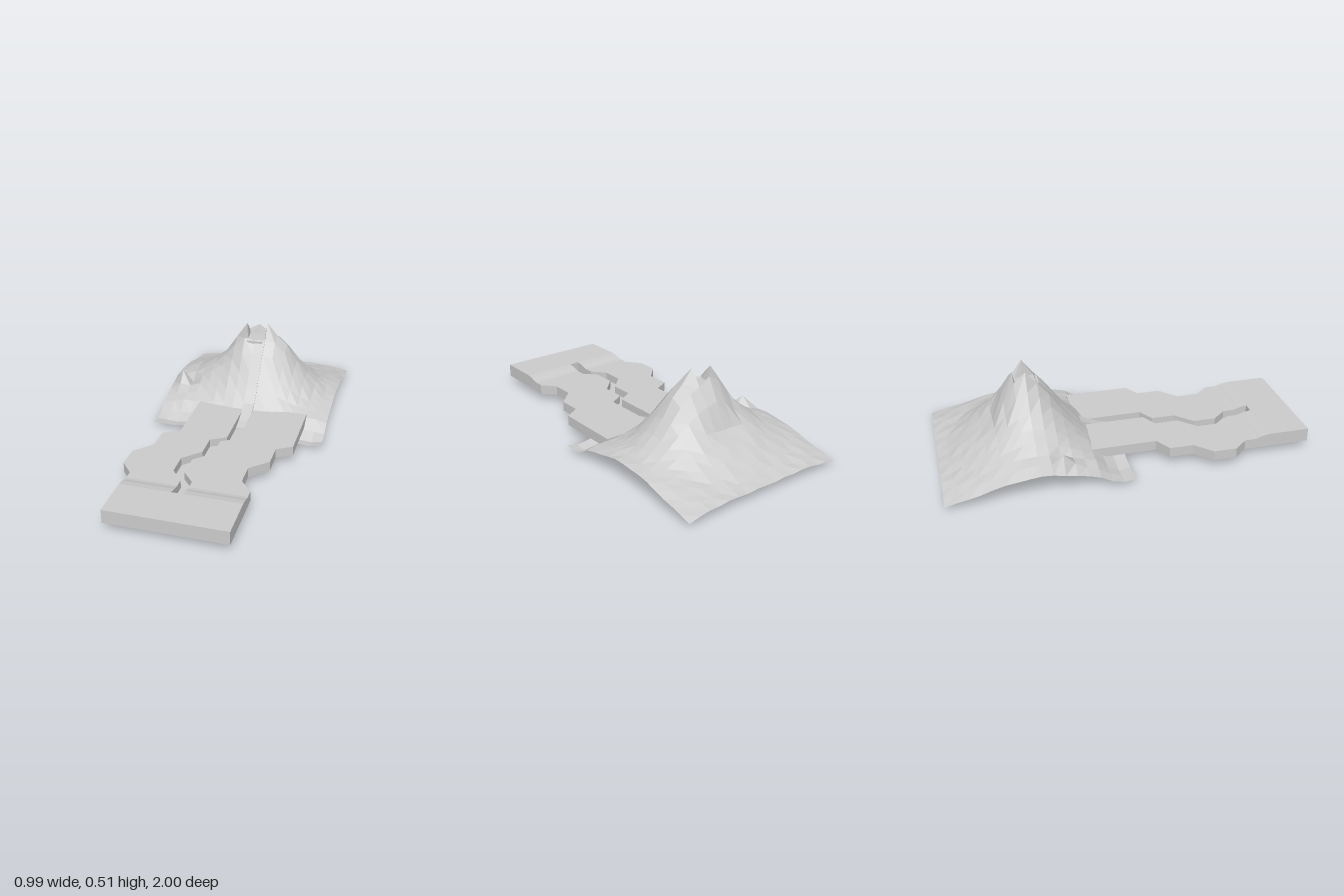
import * as THREE from 'three';

const material = new THREE.MeshStandardMaterial({ color: 0xcccccc, flatShading: true, side: THREE.DoubleSide });

function add(group, name, geometry) {
  const mesh = new THREE.Mesh(geometry, material);
  mesh.name = name;
  group.add(mesh);
  return mesh;
}

// Piecewise-linear height from [distance, height] points
function sample(points, d) {
  for (let k = 1; k < points.length; k++) {
    const [d0, h0] = points[k - 1], [d1, h1] = points[k];
    if (d <= d1) return h0 + (h1 - h0) * Math.max(0, (d - d0) / (d1 - d0));
  }
  return points[points.length - 1][1];
}

// Slopes of the mountain away from its peak
const slopes = {
  left: [[0.06, 0.515], [0.12, 0.445], [0.185, 0.38], [0.25, 0.285], [0.31, 0.215], [0.37, 0.16], [0.43, 0.125], [0.5, 0.115], [0.7, 0.02]],
  right: [[0.06, 0.5], [0.1, 0.445], [0.19, 0.31], [0.25, 0.255], [0.31, 0.21], [0.37, 0.17], [0.43, 0.15], [0.5, 0.12], [0.7, 0.02]],
  front: [[0.06, 0.42], [0.15, 0.33], [0.2, 0.25], [0.26, 0.175], [0.31, 0.12], [0.36, 0.085], [0.42, 0.05], [0.7, 0.025]],
  back: [[0.06, 0.475], [0.1, 0.42], [0.13, 0.34], [0.18, 0.23], [0.25, 0.18], [0.35, 0.12], [0.43, 0.07], [0.5, 0.045], [0.7, 0.02]],
};
// Height of the front edge across the mountain, by x
const frontEdge = [[-0.5, 0.02], [-0.37, 0.013], [-0.25, 0.03], [-0.1, 0.05], [0.1, 0.05], [0.25, 0.033], [0.37, 0.005], [0.43, 0], [0.5, 0.015]];
const N = 16, STEP = 0.0616, PEAK_Z = -0.507;
const gridX = (i) => -0.495 + STEP * i;
const gridZ = (j) => -1 + STEP * j;

// Jagged crater rim and one side crag, keyed by grid position
const special = {
  '9,8': 0.515, '7,8': 0.5, '8,7': 0.475, '9,7': 0.43, '7,7': 0.44,
  '8,9': 0.42, '7,9': 0.43, '1,10': 0.195, '1,11': 0.135, '2,10': 0.125,
};

function groundHeight(i, j) {
  if (i === 9 && j >= 9) return groundHeight(8, j); // level bed under the lava flow
  const key = `${i},${j}`;
  if (key in special) return special[key];
  const x = gridX(i), z = gridZ(j) - PEAK_Z;
  const edge = sample(frontEdge, x);
  if (j >= 15) return edge + (j - 15) * 0.01;
  const r = Math.hypot(x, z);
  const side = sample(x > 0 ? slopes.left : slopes.right, r);
  const along = sample(z > 0 ? slopes.front : slopes.back, r);
  const w = (x * x) / (r * r);
  let h = side * w + along * (1 - w);
  if (i !== 8) h += 0.003 * Math.sin(i * 2.3 + j * 1.7); // slight unevenness
  return j === 14 ? (h + edge) / 2 : h;
}

// Surface from a vertex list and triangle indices
function surface(positions, index) {
  const g = new THREE.BufferGeometry();
  g.setAttribute('position', new THREE.Float32BufferAttribute(positions, 3));
  g.setIndex(index);
  g.computeVertexNormals();
  return g;
}

function mountainGeometry() {
  const positions = [], index = [];
  for (let j = 0; j <= N; j++)
    for (let i = 0; i <= N; i++) positions.push(gridX(i), groundHeight(i, j), gridZ(j));
  for (let j = 0; j < N; j++)
    for (let i = 0; i < N; i++) {
      if ((i === 7 || i === 8) && (j === 7 || j === 8)) continue; // crater mouth
      const a = j * (N + 1) + i, b = a + N + 1;
      index.push(a, b, b + 1, a, b + 1, a + 1);
    }
  return surface(positions, index);
}

// Inner crater wall from the rim down to just under the lava
function craterGeometry() {
  const ring = [[9, 8], [9, 7], [8, 7], [7, 7], [7, 8], [7, 9], [8, 9], [9, 9]];
  const positions = [], index = [];
  ring.forEach(([i, j], k) => {
    const x = gridX(i), z = gridZ(j);
    positions.push(x, groundHeight(i, j), z);
    positions.push(x * 0.75, 0.41, PEAK_Z + (z - PEAK_Z) * 0.75);
    const a = 2 * k, b = (2 * k + 2) % 16;
    index.push(a, b, b + 1, a, b + 1, a + 1);
  });
  return surface(positions, index);
}

// Plan outline of [x, z] points extruded upwards from y0 to y1
function plan(points, y0, y1) {
  const shape = new THREE.Shape(points.map(([x, z]) => new THREE.Vector2(x, -z)));
  return new THREE.ExtrudeGeometry(shape, { depth: y1 - y0, bevelEnabled: false })
    .rotateX(-Math.PI / 2).translate(0, y0, 0);
}

// Side profile of [z, y] points extruded from x0 to x1
function profile(points, x0, x1) {
  const shape = new THREE.Shape(points.map(([z, y]) => new THREE.Vector2(-z, y)));
  return new THREE.ExtrudeGeometry(shape, { depth: x1 - x0, bevelEnabled: false })
    .rotateY(Math.PI / 2).translate(x0, 0, 0);
}

export function createModel() {
  const group = new THREE.Group();
  add(group, 'mountain', mountainGeometry());
  add(group, 'craterWall', craterGeometry());

  // Six-sided lava column inside the crater
  const column = new THREE.CylinderGeometry(0.075, 0.075, 0.34, 6).rotateY(Math.PI / 6).scale(1.15, 1, 1);
  add(group, 'lavaColumn', column).position.set(0, 0.25, -0.495);

  // Lava running down the front slope into the channel
  const flow = [];
  for (let j = 9; j <= 13; j++) flow.push([gridZ(j), groundHeight(8, j) + 0.005]);
  flow.push([-0.14, 0.1], [-0.08, 0.075], [-0.02, 0.06]);
  const under = flow.map(([z, y]) => [z, y - 0.01]).reverse();
  add(group, 'lavaFlow', profile([...flow, ...under], 0, 0.06));

  // Winding valley: [z, right edge, channel right, channel left, left edge]
  const stations = [
    [-0.21, -0.27, 0, 0.06, 0.37], [0.16, -0.27, 0, 0.06, 0.37],
    [0.21, -0.36, -0.085, -0.025, 0.285], [0.34, -0.36, -0.085, -0.025, 0.285],
    [0.43, -0.45, -0.175, -0.115, 0.19], [0.555, -0.45, -0.175, -0.115, 0.19],
    [0.63, -0.385, -0.11, -0.05, 0.255], [0.68, -0.385, -0.11, -0.05, 0.255],
  ];
  const BOTTOM = 0.045;
  const edge = (k) => stations.map((s) => [s[k], s[0]]);
  add(group, 'rightBank', plan([...edge(1), ...edge(2).reverse()], BOTTOM, 0.1));
  add(group, 'leftBank', plan([...edge(3), ...edge(4).reverse()], BOTTOM, 0.1));

  // Channel floor
  const floor = (k) => [...edge(k).map(([x, z]) => [x, Math.max(z, -0.03)]), [stations[7][k], 0.77]];
  add(group, 'channelFloor', plan([...floor(2), ...floor(3).reverse()], BOTTOM, 0.055));

  // Raised front end, ramped up on both sides of the channel
  const ramp = [[0.68, BOTTOM], [0.68, 0.1], [0.7, 0.103], [0.73, 0.113], [0.77, 0.12], [1, 0.12], [1, BOTTOM]];
  const block = [[0.77, BOTTOM], [0.77, 0.12], [1, 0.12], [1, BOTTOM]];
  add(group, 'rightRaisedEnd', profile(ramp, -0.385, -0.11));
  add(group, 'leftRaisedEnd', profile(ramp, -0.05, 0.255));
  add(group, 'middleRaisedEnd', profile(block, -0.11, -0.05));

  return group;
}
